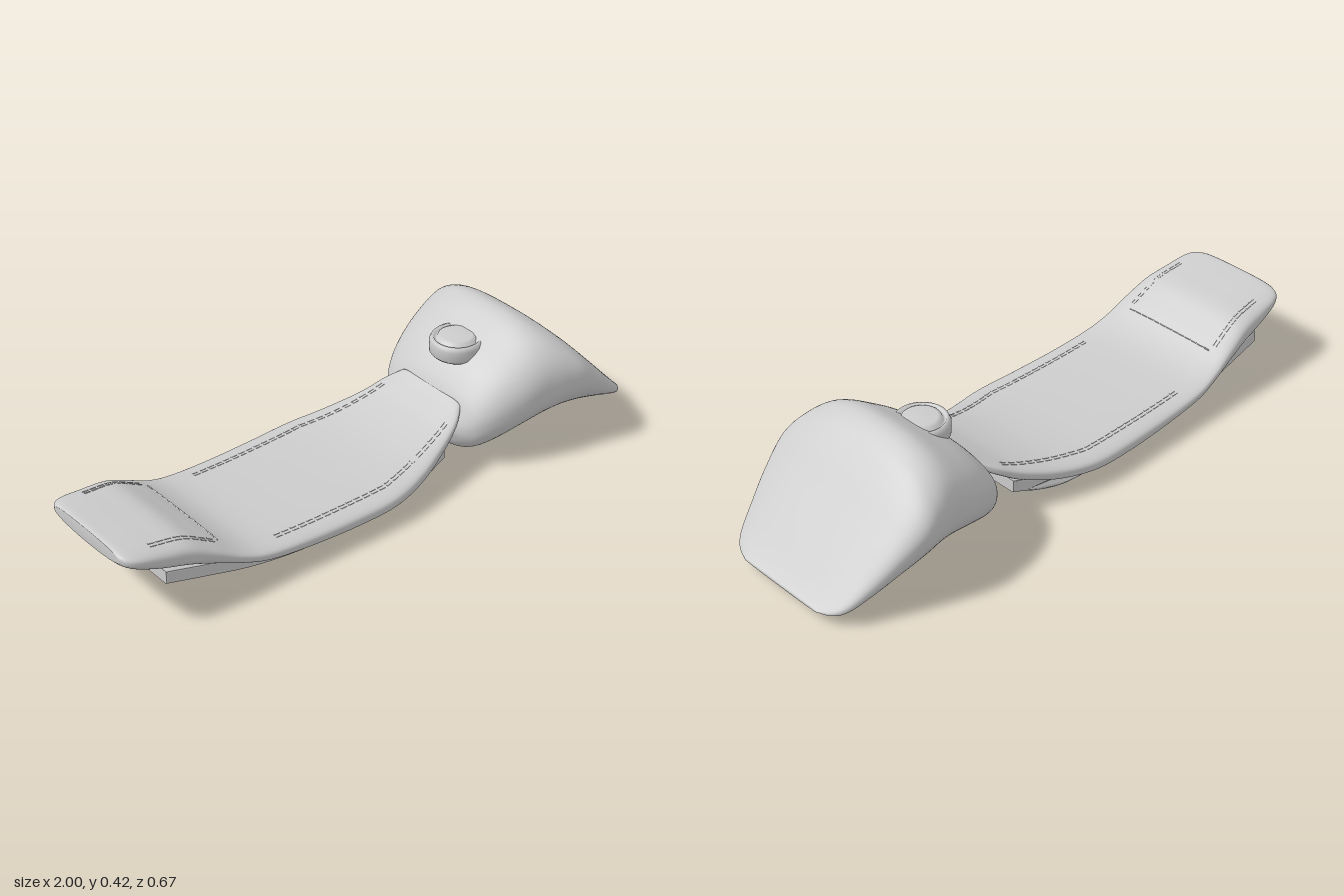
import * as THREE from 'three';

const RING = 72;

// Cross-section stations: [x, bottom, top, half width, widest height, roundness of the upper half]
const TANK = [
  [0.29, 0.11, 0.135, 0.10, 0.12, 2.5],
  [0.298, 0.085, 0.165, 0.155, 0.125, 2.5],
  [0.315, 0.045, 0.20, 0.195, 0.13, 2.5],
  [0.345, 0.02, 0.25, 0.23, 0.145, 2.5],
  [0.40, 0.03, 0.31, 0.262, 0.17, 2.5],
  [0.48, 0.058, 0.368, 0.29, 0.20, 2.5],
  [0.57, 0.076, 0.421, 0.307, 0.225, 2.5],
  [0.64, 0.088, 0.402, 0.324, 0.235, 2.6],
  [0.71, 0.085, 0.342, 0.333, 0.225, 2.8],
  [0.80, 0.062, 0.248, 0.31, 0.17, 3],
  [0.88, 0.04, 0.165, 0.28, 0.11, 3],
  [0.945, 0.021, 0.097, 0.25, 0.066, 3],
  [0.98, 0.024, 0.062, 0.215, 0.047, 3],
  [1.0, 0.036, 0.044, 0.165, 0.04, 3],
];

const SEAT = [
  [-1.0, 0.225, 0.272, 0.165, 0.25, 3],
  [-0.985, 0.21, 0.275, 0.19, 0.245, 3],
  [-0.95, 0.188, 0.272, 0.207, 0.235, 3.2],
  [-0.88, 0.16, 0.264, 0.218, 0.212, 3.5],
  [-0.79, 0.133, 0.249, 0.23, 0.19, 3.5],
  [-0.71, 0.105, 0.205, 0.241, 0.16, 3.5],
  [-0.62, 0.078, 0.15, 0.252, 0.118, 3.8],
  [-0.53, 0.055, 0.122, 0.262, 0.09, 4],
  [-0.38, 0.036, 0.111, 0.269, 0.073, 4],
  [-0.2, 0.026, 0.108, 0.276, 0.066, 4],
  [-0.05, 0.03, 0.111, 0.276, 0.07, 4],
  [0.08, 0.046, 0.126, 0.248, 0.086, 4],
  [0.2, 0.086, 0.158, 0.207, 0.122, 4],
  [0.28, 0.136, 0.193, 0.176, 0.165, 4],
  [0.33, 0.17, 0.22, 0.14, 0.195, 4],
];

// Smooth interpolation between stations
function sections(stations) {
  const curve = (k) => new THREE.CatmullRomCurve3(
    stations.map((s) => new THREE.Vector3(s[k], s[k + 1], s[k + 2])), false, 'catmullrom', 0.5);
  const a = curve(0), b = curve(3);
  return (t) => [...a.getPoint(t).toArray(), ...b.getPoint(t).toArray()];
}

// Closed skin over superellipse cross-sections along x
function loft(section, steps) {
  const pos = [], index = [];
  const power = (v, n) => Math.sign(v) * Math.pow(Math.abs(v), 2 / n);
  for (let i = 0; i <= steps; i++) {
    const [x, bottom, top, width, mid, upper] = section(i / steps);
    for (let j = 0; j < RING; j++) {
      const angle = (j / RING) * Math.PI * 2, s = Math.sin(angle);
      const n = s >= 0 ? upper : 2.2;
      const h = s >= 0 ? top - mid : mid - bottom;
      pos.push(x, mid + h * power(s, n), width * power(Math.cos(angle), n));
    }
  }
  for (let i = 0; i < steps; i++) {
    for (let j = 0; j < RING; j++) {
      const k = (j + 1) % RING, a = i * RING, b = a + RING;
      index.push(a + j, b + j, a + k, a + k, b + j, b + k);
    }
  }
  // end caps
  for (const end of [0, 1]) {
    const c = pos.length / 3, row = end * steps * RING, s = section(end);
    pos.push(s[0], s[4], 0);
    for (let j = 0; j < RING; j++) {
      const k = (j + 1) % RING;
      index.push(c, row + (end ? k : j), row + (end ? j : k));
    }
  }
  const geo = new THREE.BufferGeometry();
  geo.setAttribute('position', new THREE.Float32BufferAttribute(pos, 3));
  geo.setIndex(index);
  geo.computeVertexNormals();
  return geo;
}

// Height of the upper skin at a point
function heightAt(section, x, z) {
  let lo = 0, hi = 1;
  for (let i = 0; i < 24; i++) {
    const m = (lo + hi) / 2;
    if (section(m)[0] < x) lo = m; else hi = m;
  }
  const [, , top, width, mid, n] = section(lo);
  const u = Math.min(1, Math.abs(z) / width);
  return mid + (top - mid) * Math.pow(1 - Math.pow(u, n), 1 / n);
}

export function createModel() {
  const model = new THREE.Group();
  const grey = new THREE.MeshStandardMaterial({ color: 0xcccccc });
  grey.name = 'light grey';
  const add = (name, geo, parent = model) => {
    const mesh = new THREE.Mesh(geo, grey);
    mesh.name = name;
    parent.add(mesh);
    return mesh;
  };

  const seat = sections(SEAT);
  add('tank', loft(sections(TANK), 90));
  add('seatPad', loft(seat, 100));

  // Filler cap: disc, raised rim and centre, partly sunk into the tank
  const cap = new THREE.Group();
  cap.name = 'fillerCap';
  cap.position.set(0.435, 0, 0);
  model.add(cap);
  const profile = [[0, 0.30], [0.08, 0.30], [0.089, 0.31], [0.09, 0.345], [0.084, 0.358],
    [0.076, 0.36], [0.072, 0.352], [0.066, 0.352], [0.062, 0.362], [0.05, 0.367], [0, 0.368]];
  add('capBody', new THREE.LatheGeometry(profile.map((p) => new THREE.Vector2(...p)), 48), cap);

  // Seat base: curved plate under the pad, narrowing a little to the tank
  const bottom = new THREE.SplineCurve([[-0.865, 0.132], [-0.72, 0.088], [-0.56, 0.043], [-0.38, 0.014],
    [-0.18, 0.005], [0, 0.009], [0.12, 0.03], [0.225, 0.07]].map((p) => new THREE.Vector2(...p)));
  const lower = bottom.getPoints(40);
  const upper = lower.map((p) => new THREE.Vector2(p.x, p.y + 0.035)).reverse();
  const base = new THREE.ExtrudeGeometry(new THREE.Shape([...lower, ...upper]), {
    depth: 0.4, bevelThickness: 0.005, bevelSize: 0.005, bevelSegments: 2,
  });
  base.translate(0, 0, -0.2);
  const p = base.attributes.position;
  for (let i = 0; i < p.count; i++) {
    p.setZ(i, p.getZ(i) * (1 - 0.12 * THREE.MathUtils.smoothstep(p.getX(i), 0, 0.23)));
  }
  base.computeVertexNormals();
  add('seatBase', base);

  // Stitching: short dashes following the top of the pad
  const stitches = new THREE.Group();
  stitches.name = 'stitching';
  model.add(stitches);
  const dash = new THREE.BoxGeometry(0.022, 0.003, 0.004);
  const sew = (x0, z0, x1, z1, count) => {
    for (let i = 0; i < count; i++) {
      const at = (f) => {
        const x = x0 + (x1 - x0) * f, z = z0 + (z1 - z0) * f;
        return new THREE.Vector3(x, heightAt(seat, x, z), z);
      };
      const a = at((i + 0.1) / count), b = at((i + 0.9) / count);
      const mesh = add('stitch', dash, stitches);
      mesh.position.copy(a).lerp(b, 0.5);
      mesh.quaternion.setFromUnitVectors(new THREE.Vector3(1, 0, 0), b.sub(a).normalize());
    }
  };
  for (const side of [1, -1]) {
    for (const gap of [0, 0.012]) {
      sew(-0.9, side * (0.16 + gap), -0.68, side * (0.178 + gap), 8);
      sew(-0.48, side * (0.2 + gap), -0.05, side * (0.208 + gap), 14);
      sew(-0.05, side * (0.208 + gap), 0.26, side * (0.145 + gap), 10);
    }
  }
  sew(-0.665, -0.18, -0.665, 0.18, 13);
  return model;
}
